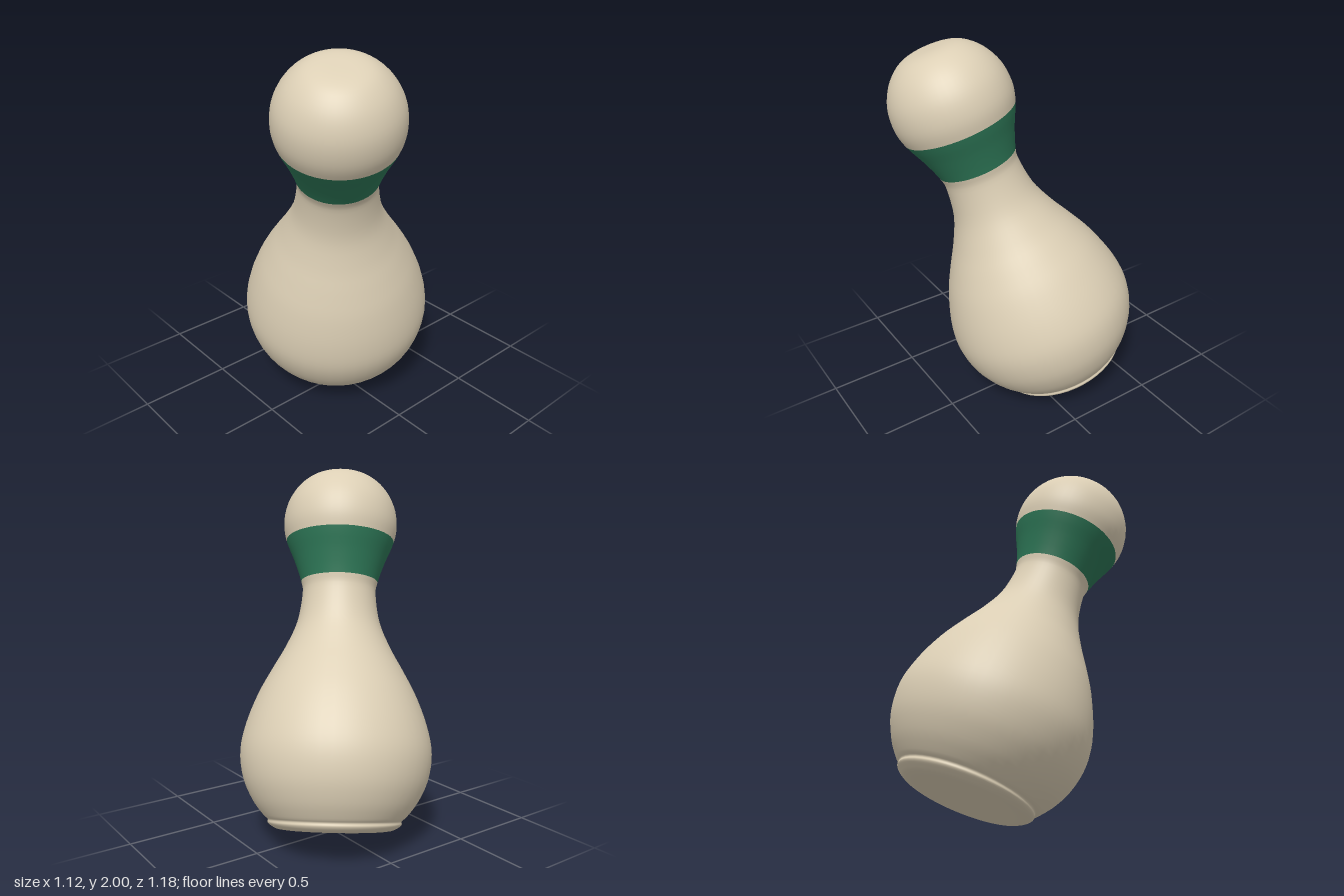
import * as THREE from 'three';

// Profile along the pin's own axis: [radius, height from widest part of the belly]
const PROFILE = [
  [0, -0.405], [0.15, -0.404], [0.29, -0.402], [0.335, -0.387], [0.357, -0.368], [0.357, -0.35],
  [0.382, -0.328], [0.442, -0.25], [0.495, -0.135], [0.515, 0.005], [0.49, 0.15],
  [0.432, 0.31], [0.362, 0.447], [0.292, 0.574], [0.23, 0.72], [0.205, 0.88],
  [0.214, 0.955], // lower edge of the band
  [0.255, 1.075],
  [0.303, 1.19], // upper edge of the band
  [0.32, 1.285], [0.305, 1.39], [0.255, 1.485], [0.18, 1.553], [0.1, 1.58], [0, 1.584],
];
const BAND_LOW = 16, BAND_HIGH = 18, LAST = PROFILE.length - 1;

export function createModel() {
  const cream = new THREE.MeshStandardMaterial({ color: 0xdccfb5 });
  cream.name = 'cream';
  const green = new THREE.MeshStandardMaterial({ color: 0x2d7656 });
  green.name = 'green';

  const curve = new THREE.SplineCurve(PROFILE.map(([r, y]) => new THREE.Vector2(r, y)));

  const pin = new THREE.Group();
  pin.name = 'tiltedPin';

  // Turn the section of the profile between two of its points
  const turn = (name, from, to, material) => {
    const steps = (to - from) * 4;
    const points = [];
    for (let i = 0; i <= steps; i++) {
      const p = curve.getPoint((from + i / 4) / LAST);
      p.x = Math.max(p.x, 0);
      points.push(p);
    }
    const mesh = new THREE.Mesh(new THREE.LatheGeometry(points, 48), material);
    mesh.name = name;
    pin.add(mesh);
  };
  turn('body', 0, BAND_LOW, cream);
  turn('neckBand', BAND_LOW, BAND_HIGH, green);
  turn('head', BAND_HIGH, LAST, cream);

  // Lean towards the front and the model's right, resting on the foot's rim
  const axis = new THREE.Vector3(-0.2825, 1.2, 0.3475).normalize();
  pin.quaternion.setFromUnitVectors(new THREE.Vector3(0, 1, 0), axis);
  pin.position.set(0.0425, 0.482, -0.0775);

  const model = new THREE.Group();
  model.name = 'pin';
  model.add(pin);
  return model;
}
